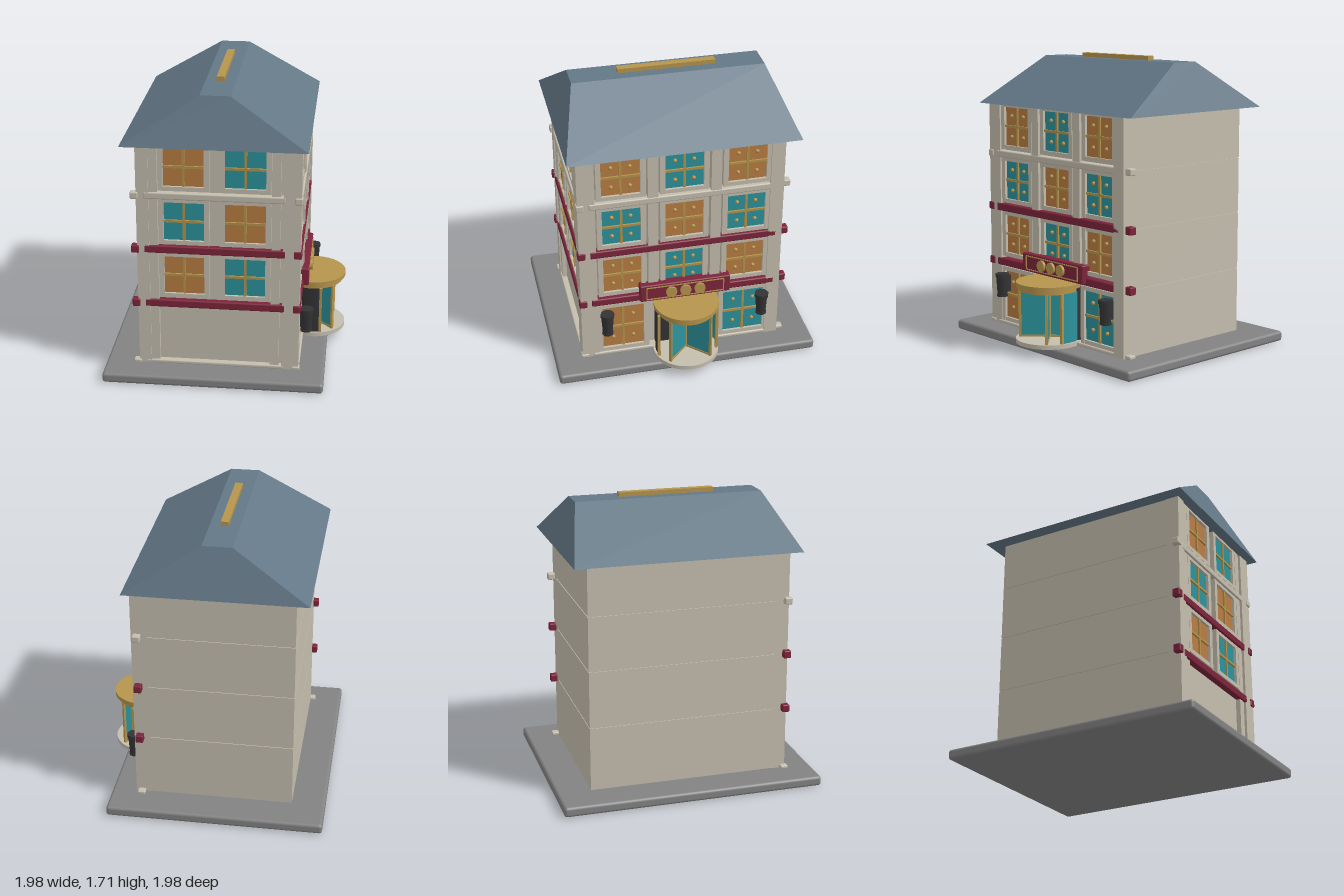
import * as THREE from 'three';
import { RoundedBoxGeometry } from 'three/addons/geometries/RoundedBoxGeometry.js';

const mat = (name, color) => new THREE.MeshStandardMaterial({ name, color });
const M = {
  stone: mat('stone', 0xc4bdae),
  slate: mat('slate', 0x637786),
  paving: mat('paving', 0x828282),
  gold: mat('gold', 0xb5944c),
  maroon: mat('maroon', 0x7c243a),
  teal: mat('teal', 0x2c929c),
  amber: mat('amber', 0xb87c42),
  black: mat('black', 0x333335),
};
M.glass = M.teal;

function add(parent, name, geometry, material, x = 0, y = 0, z = 0) {
  const mesh = new THREE.Mesh(geometry, material);
  mesh.name = name;
  mesh.position.set(x, y, z);
  parent.add(mesh);
  return mesh;
}
const box = (p, name, m, w, h, d, x, y, z) => add(p, name, new THREE.BoxGeometry(w, h, d), m, x, y, z);
const group = (p, name) => {
  const g = new THREE.Group();
  g.name = name;
  p.add(g);
  return g;
};

// Window with pane, stone surround, cross bars and optional studs; faces +z
function addWindow(parent, x, y, w, h, z, pane, studs) {
  const g = group(parent, 'window');
  g.position.set(x, y, z);
  box(g, 'pane', pane, w, h, 0.02, 0, 0, -0.01);
  for (const s of [-1, 1]) {
    box(g, 'surroundSide', M.stone, 0.03, h + 0.05, 0.05, s * (w / 2 + 0.014), 0, -0.009);
    box(g, 'surroundRail', M.stone, w, 0.025, 0.05, 0, s * (h / 2 + 0.0125), -0.01);
  }
  box(g, 'uprightBar', M.gold, 0.014, h, 0.012, 0, 0, 0.004);
  box(g, 'crossBar', M.gold, w, 0.014, 0.012, 0, 0, 0.004);
  if (studs) {
    for (const sx of [-1, 1]) for (const sy of [-1, 1]) {
      add(g, 'stud', new THREE.SphereGeometry(0.012, 10, 8), M.gold, sx * w * 0.24, sy * h * 0.27, 0.003);
    }
  }
}

export function createModel() {
  const model = new THREE.Group();
  model.name = 'building';
  model.rotation.y = Math.PI / 4;

  // Pavement slab
  add(model, 'pavement', new RoundedBoxGeometry(1.556, 0.06, 1.272, 3, 0.018), M.paving, 0, 0.03, 0);

  // Four storeys with thin joints
  const levels = [0.06, 0.445, 0.785, 1.11, 1.41];
  for (let i = 0; i < 4; i++) {
    const h = levels[i + 1] - levels[i];
    box(model, 'storey', M.stone, 1.16, h - 0.006, 0.88, 0, levels[i] + h / 2, 0);
  }
  box(model, 'wallCore', M.stone, 1.15, 1.35, 0.87, 0, 0.735, 0);

  // Corner posts
  const posts = [[-0.565, 0.435, 0.1, 0.1], [0.54, 0.445, 0.08, 0.09], [-0.575, -0.405, 0.08, 0.07]];
  for (const [x, z, w, d] of posts) box(model, 'cornerPost', M.stone, w, 1.35, d, x, 0.735, z);

  // Front wall: pillars and three columns of windows
  const front = group(model, 'frontWall');
  for (const s of [-1, 1]) box(front, 'pillar', M.stone, 0.06, 0.96, 0.05, s * 0.183, 0.93, 0.462);
  const rows = [0.625, 0.955, 1.28];
  rows.forEach((y, r) => [-1, 0, 1].forEach((c) => {
    const amber = (r + c + 3) % 2 === 0;
    addWindow(front, c * 0.365, y, 0.225, 0.23, 0.465, amber ? M.amber : M.teal, true);
  }));
  addWindow(front, -0.365, 0.25, 0.25, 0.29, 0.465, M.amber, true);
  addWindow(front, 0.365, 0.25, 0.25, 0.29, 0.465, M.teal, true);

  // Side wall: two columns of windows above a plain panel
  const side = group(model, 'sideWall');
  side.rotation.y = -Math.PI / 2;
  rows.forEach((y, r) => [0, 1].forEach((c) => {
    addWindow(side, c ? 0.173 : -0.173, y, 0.23, 0.23, 0.591, (r + c) % 2 ? M.teal : M.amber, false);
  }));
  for (const x of [-0.345, 0.345]) box(side, 'sidePilaster', M.stone, 0.05, 1.35, 0.035, x, 0.735, 0.59);

  // Horizontal trims with blocks on the three decorated corners
  const trims = [[0.07, 0.022, M.stone], [0.448, 0.046, M.maroon], [0.785, 0.046, M.maroon], [1.11, 0.04, M.stone]];
  for (const [y, h, m] of trims) {
    const trim = group(model, 'trim');
    add(trim, 'frontTrim', new RoundedBoxGeometry(1.1, h, 0.06, 2, 0.008), m, 0, y, 0.46);
    add(trim, 'sideTrim', new RoundedBoxGeometry(0.04, h, 0.8, 2, 0.008), m, -0.597, y, 0);
    for (const [x, z] of [[-0.6, 0.47], [0.6, 0.455], [-0.605, -0.45]]) {
      add(trim, 'trimBlock', new RoundedBoxGeometry(0.045, h, 0.045, 2, 0.007), m, x, y, z);
    }
  }

  // Hipped roof with a flat top and gold ridge bar
  const roof = new THREE.BoxGeometry(1.336, 0.275, 1.04);
  const p = roof.attributes.position;
  for (let i = 0; i < p.count; i++) {
    if (p.getY(i) > 0) p.setXYZ(i, Math.sign(p.getX(i)) * 0.56, p.getY(i), Math.sign(p.getZ(i)) * 0.085);
  }
  roof.computeVertexNormals();
  add(model, 'roof', roof, M.slate, 0, 1.5475, 0);
  box(model, 'ridgeBar', M.gold, 0.57, 0.03, 0.045, 0, 1.695, 0);

  // Sign board with gold edging and three discs
  const sign = group(model, 'signBoard');
  sign.position.set(0, 0.49, 0.49);
  add(sign, 'board', new RoundedBoxGeometry(0.54, 0.11, 0.06, 2, 0.008), M.maroon);
  for (const s of [-1, 1]) {
    box(sign, 'edging', M.gold, 0.46, 0.006, 0.006, 0, s * 0.04, 0.031);
    box(sign, 'edgingEnd', M.gold, 0.006, 0.08, 0.006, s * 0.23, 0, 0.031);
  }
  for (const x of [-0.085, 0, 0.085]) {
    const disc = add(sign, 'disc', new THREE.CylinderGeometry(0.033, 0.033, 0.02, 20), M.gold, x, 0, 0.035);
    disc.rotation.x = Math.PI / 2;
  }

  // Revolving door: step, canopy, curved screens and four wings
  const door = group(model, 'revolvingDoor');
  door.position.set(0, 0, 0.54);
  box(door, 'doorway', M.black, 0.34, 0.33, 0.03, 0, 0.235, -0.09);
  add(door, 'step', new THREE.CylinderGeometry(0.195, 0.195, 0.025, 40), M.stone, 0, 0.0725, 0);
  add(door, 'canopy', new THREE.CylinderGeometry(0.192, 0.192, 0.025, 40), M.gold, 0, 0.408, 0);
  add(door, 'canopyBand', new THREE.CylinderGeometry(0.175, 0.175, 0.025, 40), M.gold, 0, 0.384, 0);
  const screenMat = { left: M.black.clone(), right: M.glass };
  screenMat.left = M.black;
  const screen = (name, m, start, sweep) => {
    const g = new THREE.CylinderGeometry(0.182, 0.182, 0.29, 16, 1, true, start, sweep);
    m.side = THREE.DoubleSide;
    add(door, name, g, m, 0, 0.23, 0);
  };
  screen('leftScreen', screenMat.left, -Math.PI * 0.75, Math.PI * 0.34);
  screen('rightScreen', screenMat.right, Math.PI * 0.41, Math.PI * 0.24);
  screen('rightScreenEnd', screenMat.left, Math.PI * 0.65, Math.PI * 0.1);
  for (const a of [-0.41, 0.41]) {
    const t = a * Math.PI;
    box(door, 'screenPost', M.gold, 0.016, 0.29, 0.016, Math.sin(t) * 0.182, 0.23, Math.cos(t) * 0.182);
  }
  add(door, 'spindle', new THREE.CylinderGeometry(0.012, 0.012, 0.29, 12), M.gold, 0, 0.23, 0);
  for (let i = 0; i < 4; i++) {
    const wing = group(door, 'wing');
    wing.rotation.y = Math.PI / 4 + (i * Math.PI) / 2;
    box(wing, 'wingGlass', M.glass, 0.16, 0.28, 0.008, 0.09, 0.23, 0);
    box(wing, 'wingStile', M.gold, 0.014, 0.29, 0.016, 0.17, 0.23, 0);
    for (const y of [0.092, 0.365]) box(wing, 'wingRail', M.gold, 0.16, 0.012, 0.014, 0.09, y, 0);
  }

  // Wall lanterns
  for (const s of [-1, 1]) {
    const lantern = group(model, 'lantern');
    lantern.position.set(s * 0.467, 0, 0.52);
    add(lantern, 'body', new THREE.CylinderGeometry(0.037, 0.03, 0.11, 8), M.black, 0, 0.31, 0);
    add(lantern, 'cap', new THREE.CylinderGeometry(0.042, 0.042, 0.02, 8), M.black, 0, 0.375, 0);
    add(lantern, 'foot', new THREE.CylinderGeometry(0.034, 0.034, 0.012, 8), M.black, 0, 0.25, 0);
    box(lantern, 'bracket', M.black, 0.03, 0.1, 0.06, 0, 0.32, -0.04);
  }
  return model;
}
